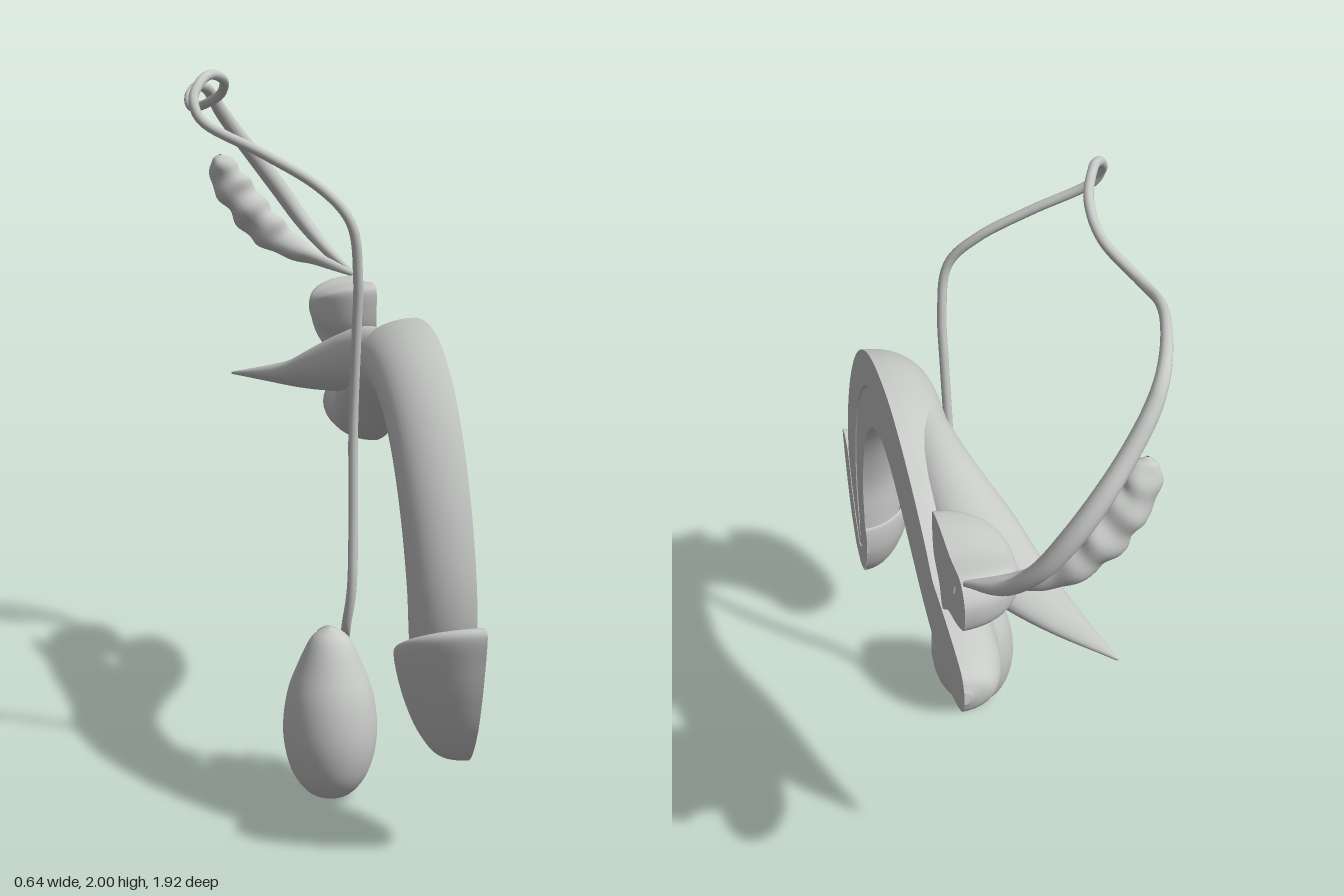
import * as THREE from 'three';

const CUT = 0.315; // x of the flat section plane
const grey = new THREE.MeshStandardMaterial({ color: 0xc8cac8, side: THREE.DoubleSide });
grey.name = 'grey';

const V = (x, y, z) => new THREE.Vector3(x, y, z);
const spline = (pts) => new THREE.CatmullRomCurve3(pts, false, 'catmullrom', 0.5);

function mesh(name, geometry) {
  const m = new THREE.Mesh(geometry, grey);
  m.name = name;
  return m;
}

// Smooth surface through rows of points; closed rows wrap round
function skin(rows, closed) {
  const n = rows[0].length, pos = [], idx = [];
  rows.forEach((r) => r.forEach((p) => pos.push(p.x, p.y, p.z)));
  for (let i = 0; i < rows.length - 1; i++) {
    for (let j = 0; j < (closed ? n : n - 1); j++) {
      const k = (j + 1) % n, a = i * n + j, b = i * n + k, c = a + n, d = b + n;
      idx.push(a, b, c, b, d, c);
    }
  }
  const g = new THREE.BufferGeometry();
  g.setAttribute('position', new THREE.Float32BufferAttribute(pos, 3));
  g.setIndex(idx);
  g.computeVertexNormals();
  return g;
}

// Tube with changing radii; rows are [x, y, z, r] or [x, y, z, rx, ry]
function taperedTube(rows, steps, sides, bump = () => 1) {
  const path = spline(rows.map((r) => V(r[0], r[1], r[2])));
  const size = spline(rows.map((r) => V(r[3], r[4] ?? r[3], 0)));
  const n = V(1, 0, 0), rings = [];
  for (let i = 0; i <= steps; i++) {
    const t = i / steps, c = path.getPoint(t), s = size.getPoint(t), tan = path.getTangent(t);
    n.addScaledVector(tan, -n.dot(tan)).normalize();
    const b = tan.clone().cross(n), ring = [];
    for (let j = 0; j < sides; j++) {
      const a = (j / sides) * Math.PI * 2, k = bump(t, a);
      ring.push(c.clone().addScaledVector(n, s.x * k * Math.cos(a)).addScaledVector(b, s.y * k * Math.sin(a)));
    }
    rings.push(ring);
  }
  return skin(rings, true);
}

// Half-round body behind the section plane; rows are [zA, yA, zB, yB, depth]
function halfLoft(rows, steps = 90, sides = 24) {
  const A = spline(rows.map((r) => V(r[4], r[1], r[0])));
  const B = spline(rows.map((r) => V(r[4], r[3], r[2])));
  const rings = [], edgeA = [], edgeB = [];
  for (let i = 0; i <= steps; i++) {
    const a = A.getPoint(i / steps), b = B.getPoint(i / steps), ring = [];
    for (let j = 0; j <= sides; j++) {
      const th = (j / sides) * Math.PI, k = (1 + Math.cos(th)) / 2;
      ring.push(V(CUT - Math.max(a.x, 0) * Math.sin(th), b.y + (a.y - b.y) * k, b.z + (a.z - b.z) * k));
    }
    rings.push(ring);
    edgeA.push([a.z, a.y]);
    edgeB.unshift([b.z, b.y]);
  }
  return { geometry: skin(rings, false), outline: [...edgeA, ...edgeB] };
}

// Flat face on the section plane from a [z, y] outline
function sectionFace(outline, holes = []) {
  const pts = (o) => o.map(([z, y]) => new THREE.Vector2(-z, y));
  const shape = new THREE.Shape(pts(outline));
  holes.forEach((h) => shape.holes.push(new THREE.Path(pts(h))));
  return new THREE.ShapeGeometry(shape).rotateY(Math.PI / 2).translate(CUT, 0, 0);
}

export function createModel() {
  const model = new THREE.Group();
  const add = (name, g) => model.add(mesh(name, g));

  // Shaft and bulb with the channel cut into their section
  const shaft = halfLoft([
    [-0.73, 0.99, -0.73, 0.95, 0.02], [-0.70, 1.03, -0.70, 0.90, 0.09],
    [-0.60, 1.055, -0.60, 0.86, 0.13], [-0.46, 1.075, -0.46, 0.857, 0.14],
    [-0.385, 1.085, -0.36, 0.875, 0.14], [-0.30, 1.145, -0.24, 0.915, 0.15],
    [-0.15, 1.225, -0.12, 0.97, 0.155], [0, 1.285, 0.02, 1.035, 0.165],
    [0.15, 1.32, 0.15, 1.08, 0.17], [0.34, 1.315, 0.27, 1.092, 0.17],
    [0.50, 1.255, 0.40, 1.045, 0.165], [0.64, 1.14, 0.50, 0.95, 0.16],
    [0.76, 0.97, 0.575, 0.82, 0.155], [0.84, 0.78, 0.625, 0.66, 0.15],
    [0.862, 0.62, 0.63, 0.53, 0.145], [0.83, 0.50, 0.635, 0.45, 0.13],
    [0.79, 0.41, 0.67, 0.385, 0.09], [0.75, 0.345, 0.73, 0.345, 0.01],
  ]);
  const channel = halfLoft([
    [0.445, 1.162, 0.443, 1.158, 0.003], [0.53, 1.105, 0.523, 1.095, 0.02],
    [0.615, 1.01, 0.603, 1.00, 0.03], [0.69, 0.86, 0.675, 0.855, 0.03],
    [0.735, 0.70, 0.717, 0.695, 0.03], [0.75, 0.55, 0.73, 0.55, 0.03],
    [0.742, 0.45, 0.725, 0.45, 0.025], [0.735, 0.38, 0.731, 0.38, 0.003],
  ], 40, 10);
  add('shaft', shaft.geometry);
  add('shaftSection', sectionFace(shaft.outline, [channel.outline]));
  add('channel', channel.geometry);

  // Tip cap: outside from the tip up to the rim, then the inner hollow
  const cap = halfLoft([
    [0.75, 0.25, 0.75, 0.25, 0.005], [0.82, 0.28, 0.69, 0.267, 0.075],
    [0.88, 0.36, 0.645, 0.32, 0.125], [0.92, 0.46, 0.618, 0.385, 0.16],
    [0.947, 0.56, 0.61, 0.44, 0.182], [0.962, 0.645, 0.612, 0.485, 0.193],
    [0.93, 0.658, 0.618, 0.495, 0.18], [0.885, 0.62, 0.622, 0.485, 0.16],
    [0.85, 0.50, 0.632, 0.44, 0.138], [0.805, 0.40, 0.67, 0.375, 0.095],
    [0.755, 0.33, 0.735, 0.33, 0.01],
  ], 80);
  add('tipCap', cap.geometry);
  add('tipCapSection', sectionFace([
    [0.75, 0.25], [0.82, 0.28], [0.88, 0.36], [0.92, 0.46], [0.947, 0.56], [0.962, 0.645],
    [0.93, 0.658], [0.885, 0.62], [0.85, 0.50], [0.805, 0.40], [0.755, 0.33], [0.735, 0.335],
    [0.67, 0.385], [0.635, 0.45], [0.62, 0.495], [0.61, 0.44], [0.618, 0.385], [0.645, 0.32], [0.69, 0.267],
  ]));

  // Pointed root branching off the shaft
  add('root', taperedTube([
    [0.225, 1.21, 0.16, 0.07, 0.08], [0.205, 1.18, -0.05, 0.09, 0.09],
    [0.16, 1.125, -0.25, 0.11, 0.075], [0.10, 1.08, -0.42, 0.095, 0.048],
    [0.025, 1.055, -0.57, 0.06, 0.028], [-0.085, 1.03, -0.75, 0.003, 0.004],
  ], 40, 24));

  // Gland: section outline shrunk into a dome
  const rim = new THREE.CatmullRomCurve3([
    [-0.41, 1.335], [-0.48, 1.345], [-0.60, 1.335], [-0.71, 1.342], [-0.752, 1.29], [-0.74, 1.21],
    [-0.66, 1.165], [-0.57, 1.135], [-0.50, 1.087], [-0.47, 1.145], [-0.412, 1.20], [-0.402, 1.28],
  ].map(([z, y]) => V(0, y, z)), true, 'catmullrom', 0.4).getPoints(60).slice(0, 60);
  const dome = [];
  for (let i = 0; i <= 14; i++) {
    const a = (i / 14) * Math.PI / 2, k = Math.pow(Math.cos(a), 0.85);
    dome.push(rim.map((p) => V(CUT - 0.175 * Math.sin(a), 1.26 + (p.y - 1.26) * k, -0.58 + (p.z + 0.58) * k)));
  }
  const duct = halfLoft([
    [-0.657, 1.292, -0.659, 1.288, 0.003], [-0.64, 1.275, -0.655, 1.268, 0.025], [-0.634, 1.247, -0.638, 1.245, 0.003],
  ], 12, 8);
  add('gland', skin(dome, true));
  add('glandSection', sectionFace(rim.map((p) => [p.z, p.y]), [duct.outline]));
  add('glandDuct', duct.geometry);

  // Egg-shaped testis
  const profile = new THREE.SplineCurve([
    [0, 0], [0.06, 0.015], [0.108, 0.08], [0.13, 0.18], [0.121, 0.29], [0.09, 0.38], [0.05, 0.46], [0, 0.49],
  ].map(([r, y]) => new THREE.Vector2(r, y))).getPoints(40);
  profile.forEach((p) => { p.x = Math.max(p.x, 0); });
  add('testis', new THREE.LatheGeometry(profile, 40).scale(1, 1, 1.1).translate(0.045, 0, 0.305));

  // Coiled body on the back of the testis
  add('epididymis', taperedTube([
    [0.06, 0.465, 0.27, 0.012], [0.05, 0.43, 0.215, 0.032], [0.03, 0.35, 0.178, 0.033],
    [0.02, 0.24, 0.162, 0.026], [0.03, 0.15, 0.168, 0.02], [0.05, 0.10, 0.185, 0.008],
  ], 40, 16));

  // Long duct, thickening behind before it joins the gland
  const r = 0.0135;
  add('longDuct', taperedTube([
    [0.05, 0.10, 0.185, 0.008], [0.085, 0.20, 0.158, 0.017], [0.105, 0.32, 0.16, 0.016], [0.105, 0.42, 0.205, r],
    [0.10, 0.48, 0.255, r], [0.11, 0.60, 0.28, r], [0.115, 0.80, 0.267, r], [0.115, 1.05, 0.26, r],
    [0.117, 1.30, 0.288, r], [0.115, 1.46, 0.314, r], [0.092, 1.60, 0.333, r], [0.01, 1.695, 0.305, r],
    [-0.13, 1.78, 0.265, r], [-0.275, 1.855, 0.225, r], [-0.308, 1.915, 0.198, r], [-0.285, 1.965, 0.15, r],
    [-0.245, 1.985, 0.08, r], [-0.195, 1.965, -0.05, r], [-0.195, 1.92, -0.18, r], [-0.247, 1.885, -0.34, r],
    [-0.245, 1.912, -0.49, r], [-0.20, 1.94, -0.66, 0.015], [-0.15, 1.925, -0.79, 0.018], [-0.105, 1.86, -0.845, 0.022],
    [-0.04, 1.775, -0.885, 0.024], [0.03, 1.69, -0.915, 0.027], [0.10, 1.60, -0.925, 0.028],
    [0.17, 1.50, -0.905, 0.025], [0.24, 1.41, -0.84, 0.018], [0.305, 1.343, -0.72, 0.008],
  ], 220, 12));

  // Lumpy vesicle beside the thick end of the duct
  add('vesicle', taperedTube([
    [-0.11, 1.722, -0.825, 0.004, 0.004], [-0.105, 1.70, -0.83, 0.036, 0.032], [-0.08, 1.635, -0.84, 0.055, 0.045],
    [-0.03, 1.565, -0.845, 0.058, 0.05], [0.03, 1.495, -0.845, 0.058, 0.05], [0.10, 1.435, -0.835, 0.045, 0.04],
    [0.20, 1.388, -0.795, 0.022, 0.022], [0.305, 1.343, -0.72, 0.008, 0.008],
  ], 70, 20, (t, a) => 1 + 0.1 * Math.sin(t * 42 + Math.sin(a) * 1.5) * Math.sin(t * Math.PI) + 0.05 * Math.sin(3 * a + t * 20)));

  return model;
}
